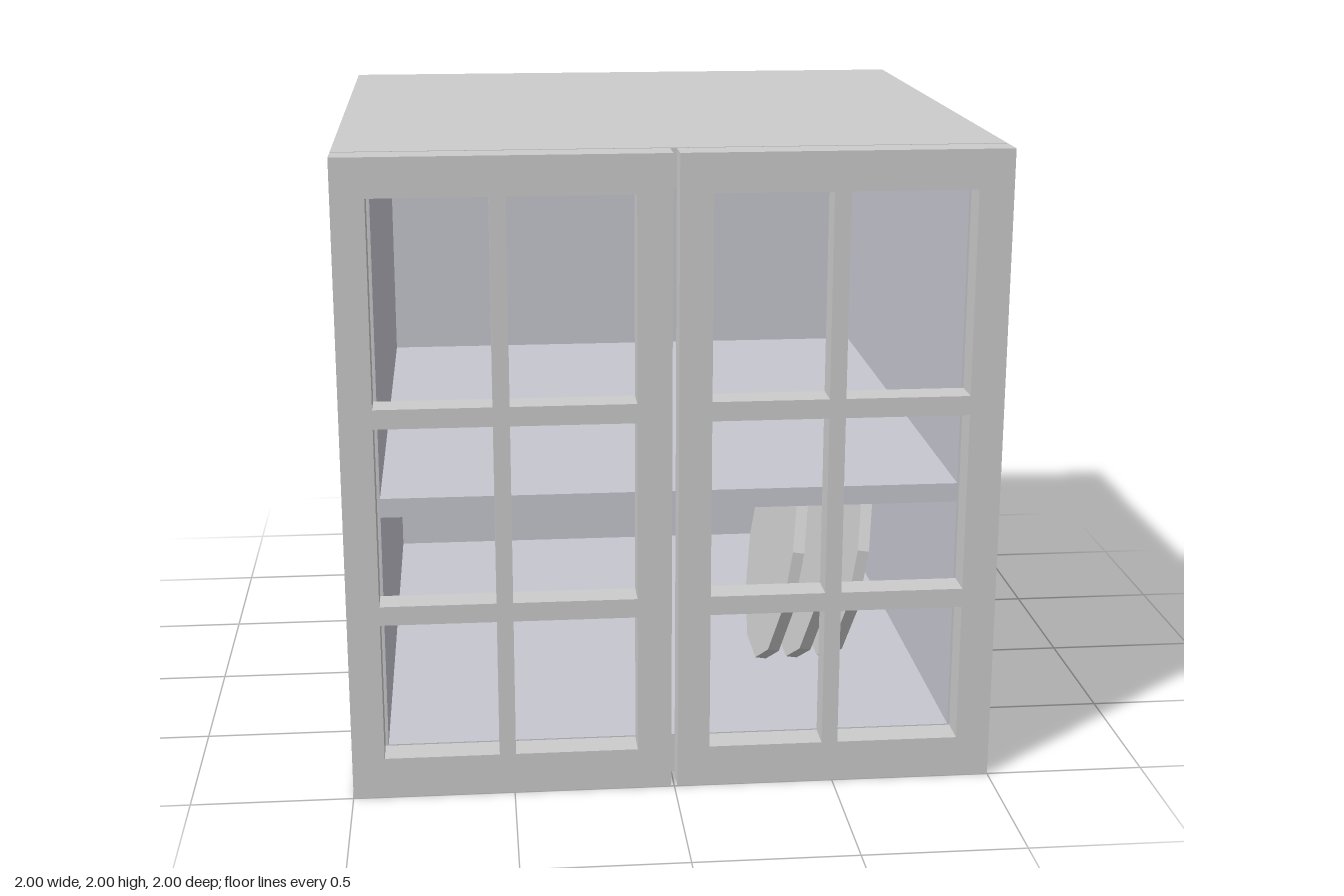
import * as THREE from 'three';

const grey = new THREE.MeshStandardMaterial({ color: 0xcccccc });
const flatGrey = new THREE.MeshStandardMaterial({ color: 0xcccccc, flatShading: true });
const blueGrey = new THREE.MeshStandardMaterial({ color: 0xc6c6d0 });

function rect(target, x0, y0, x1, y1) {
  target.moveTo(x0, y0).lineTo(x1, y0).lineTo(x1, y1).lineTo(x0, y1).closePath();
  return target;
}

// Flat panel with rectangular openings, its back at z
function frame(name, outline, openings, z, depth) {
  const shape = rect(new THREE.Shape(), ...outline);
  for (const o of openings) shape.holes.push(rect(new THREE.Path(), ...o));
  const geometry = new THREE.ExtrudeGeometry(shape, { depth, bevelEnabled: false });
  const mesh = new THREE.Mesh(geometry, grey);
  mesh.name = name;
  mesh.position.z = z;
  return mesh;
}

// Box given by its minimum and maximum corners
function block(name, min, max, material) {
  const size = max.map((v, i) => v - min[i]);
  const mesh = new THREE.Mesh(new THREE.BoxGeometry(...size), material);
  mesh.name = name;
  mesh.position.set(...max.map((v, i) => (v + min[i]) / 2));
  return mesh;
}

export function createModel() {
  const model = new THREE.Group();
  model.name = 'cupboard';
  const back = -1, front = 0.895;
  const side = 0.895, floor = 0.125, ceiling = 1.88, t = 0.004;

  // Carcass: open tube running front to back
  model.add(frame('carcass', [-1, 0, 1, 2], [[-side, floor, side, ceiling]], back, front - back));

  // Tinted lining, back panel and shelf
  const lining = new THREE.Group();
  lining.name = 'lining';
  lining.add(
    block('leftLining', [side - t, floor, back], [side, ceiling, front], blueGrey),
    block('rightLining', [-side, floor, back], [-side + t, ceiling, front], blueGrey),
    block('floorLining', [-side, floor, back], [side, floor + t, front], blueGrey),
    block('ceilingLining', [-side, ceiling - t, back], [side, ceiling, front], blueGrey),
    block('backPanel', [-side, floor, back], [side, ceiling, back + 0.01], blueGrey),
  );
  model.add(lining, block('shelf', [-side, 0.88, back + 0.005], [side, 0.94, front], blueGrey));

  // Two identical doors, each with two columns and three rows of openings
  const columns = [[0.1, 0.455], [0.505, 0.885]];
  const rows = [[0.13, 0.57], [0.63, 1.19], [1.25, 1.88]];
  const openings = columns.flatMap(([x0, x1]) => rows.map(([y0, y1]) => [x0, y0, x1, y1]));
  for (const [name, x] of [['rightDoor', -1], ['leftDoor', 0.01]]) {
    const door = frame(name, [0, 0, 0.99, 2], openings, 0.905, 0.095);
    door.position.x = x;
    model.add(door);
  }

  // Row of leaning twelve-sided plates below the shelf
  const plateGeometry = new THREE.CylinderGeometry(0.395, 0.395, 0.037, 12);
  plateGeometry.rotateY(Math.PI / 12).rotateZ(Math.PI / 2);
  const plates = new THREE.Group();
  plates.name = 'plates';
  for (let i = 0; i < 3; i++) {
    const plate = new THREE.Mesh(plateGeometry, flatGrey);
    plate.name = 'plate';
    plate.position.set(0.418 + i * 0.106, 0.543, 0.29);
    plate.rotation.z = -0.16;
    plates.add(plate);
  }
  model.add(plates);
  return model;
}
